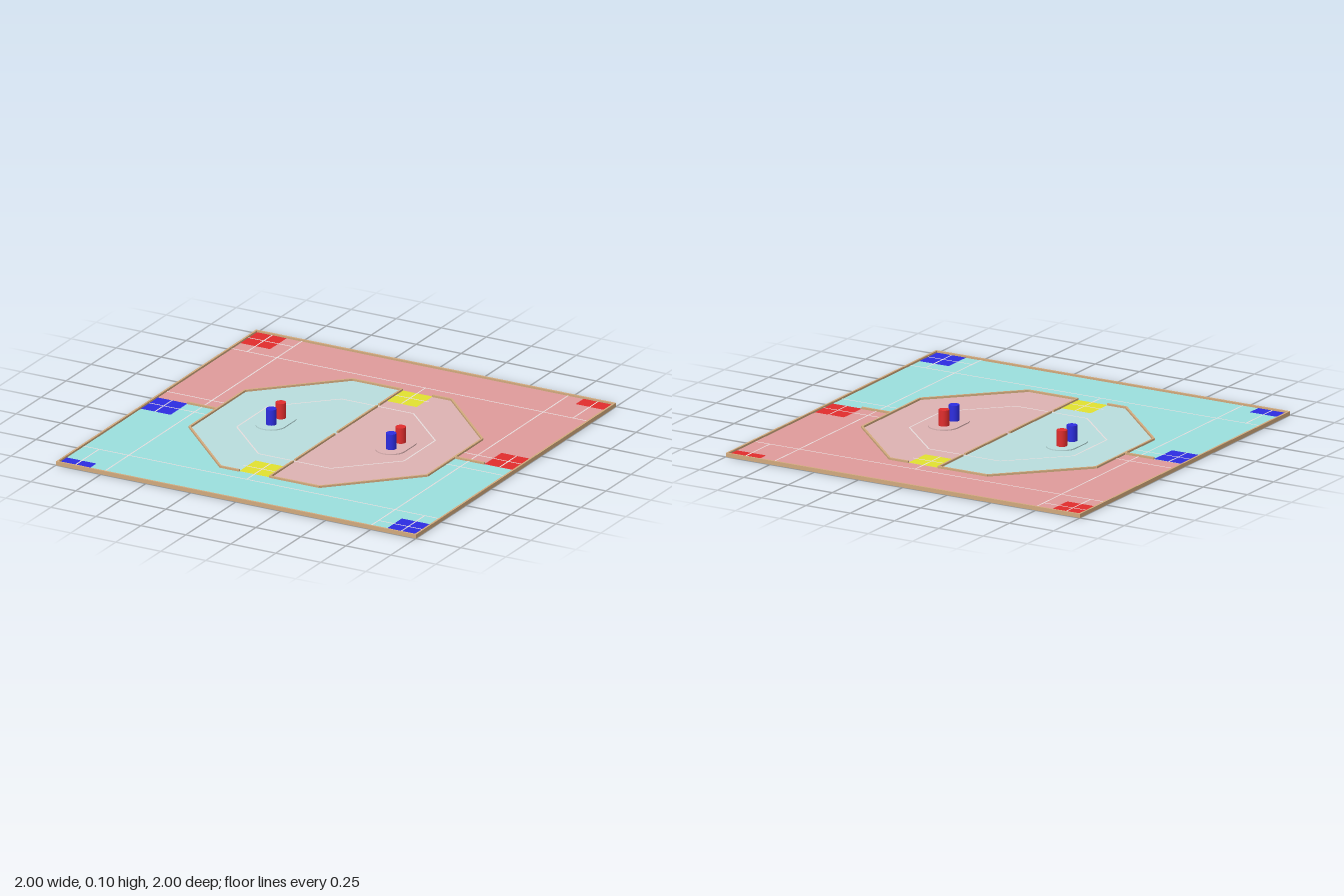
import * as THREE from 'three';

const mat = (color) => new THREE.MeshStandardMaterial({ color });
const WOOD = mat(0xd2aa7d), LINE = mat(0xe6dcdc);
const RED = mat(0xe02c2c), BLUE = mat(0x2c2ce0), YELLOW = mat(0xe0e030);
const PINK = mat(0xde9a9a), CYAN = mat(0x9adedc);
const PALE_PINK = mat(0xdcb2b2), PALE_CYAN = mat(0xb8dcdc);
const FLOOR = 0.01, WALL_TOP = 0.02, T = 0.01;

export function createModel() {
  const model = new THREE.Group();

  const add = (name, geometry, material, x = 0, y = 0, z = 0, parent = model) => {
    const mesh = new THREE.Mesh(geometry, material);
    mesh.name = name;
    mesh.position.set(x, y, z);
    parent.add(mesh);
    return mesh;
  };

  // flat polygon lying on the floor, given as [x, z] corners
  const floor = (name, points, material) => {
    const shape = new THREE.Shape(points.map(([x, z]) => new THREE.Vector2(x, -z)));
    add(name, new THREE.ShapeGeometry(shape).rotateX(-Math.PI / 2), material, 0, FLOOR, 0);
  };

  // flat rectangle between two corners
  const tile = (name, x0, z0, x1, z1, material, y = FLOOR + 0.001, parent = model) =>
    add(name, new THREE.PlaneGeometry(x1 - x0, z1 - z0).rotateX(-Math.PI / 2), material,
      (x0 + x1) / 2, y, (z0 + z1) / 2, parent);

  // upright strip of wood from one floor point to another
  const wall = (name, x0, z0, x1, z1) => {
    const length = Math.hypot(x1 - x0, z1 - z0);
    const mesh = add(name, new THREE.BoxGeometry(length, WALL_TOP, T), WOOD,
      (x0 + x1) / 2, WALL_TOP / 2, (z0 + z1) / 2);
    mesh.rotation.y = -Math.atan2(z1 - z0, x1 - x0);
  };

  // painted stripe from one floor point to another
  const lines = new THREE.Group();
  lines.name = 'paintedLines';
  model.add(lines);
  const line = (x0, z0, x1, z1) => {
    const length = Math.hypot(x1 - x0, z1 - z0);
    const g = new THREE.PlaneGeometry(length, 0.007).rotateX(-Math.PI / 2);
    const mesh = add('paintedLine', g, LINE, (x0 + x1) / 2, FLOOR + 0.002, (z0 + z1) / 2, lines);
    mesh.rotation.y = -Math.atan2(z1 - z0, x1 - x0);
  };

  // wooden base and rim
  add('base', new THREE.BoxGeometry(2, FLOOR - 0.001, 2), WOOD, 0, (FLOOR - 0.001) / 2, 0);
  const E = 1 - T / 2;
  for (const s of [1, -1]) {
    wall('rimLong', -1, s * E, 1, s * E);
    wall('rimSide', s * E, -1 + T, s * E, 1 - T);
  }

  // the court is two identical halves turned half way round: s = 1 is the front half
  const A = 0.66, B = 0.275, a = 0.465, b = 0.155, c = 0.2, d = 0.415;
  for (const s of [1, -1]) {
    const turn = (pts) => pts.map(([x, z]) => [s * x, s * z]);
    const corner = s > 0 ? BLUE : RED;
    const rect = (name, x0, z0, x1, z1, m) => tile(name,
      Math.min(s * x0, s * x1), Math.min(s * z0, s * z1),
      Math.max(s * x0, s * x1), Math.max(s * z0, s * z1), m);
    const stripe = (x0, z0, x1, z1) => line(s * x0, s * z0, s * x1, s * z1);
    const fence = (name, x0, z0, x1, z1) => wall(name, s * x0, s * z0, s * x1, s * z1);

    floor('outerFloor', turn([[-1, 0], [-A, 0], [-A, B], [-B, A], [B, A], [A, B], [A, 0], [1, 0], [1, 1], [-1, 1]]),
      s > 0 ? CYAN : PINK);
    floor('innerFloor', turn([[0, -A], [0, A], [-B, A], [-A, B], [-A, -B], [-B, -A]]),
      s > 0 ? PALE_CYAN : PALE_PINK);

    // coloured zones
    rect('cornerZone', 0.825, 0.825, 0.99, 0.99, corner);
    rect('halfCornerZone', -0.99, 0.91, -0.825, 0.99, corner);
    rect('sideZone', -0.99, 0, -0.825, 0.17, corner);
    rect('gateZone', -0.17, 0.5, 0, A, YELLOW);

    // octagon wall, open at the gate
    fence('octagonSide', A, -B, A, B);
    fence('octagonCorner', A, B, B, A);
    fence('octagonCorner', -B, A, -A, B);
    fence('octagonFront', B, A, 0, A);
    fence('octagonFront', -0.17, A, -B, A);
    // dividing walls
    fence('sideDivider', -A, 0, -0.825, 0);
    fence('middleDivider', 0, 0.015, 0, 0.41);
    fence('middleDivider', 0, 0.43, 0, A);

    // outer stripes
    stripe(-0.99, 0.74, 0.99, 0.74);
    stripe(0.74, 0, 0.74, 0.99);
    stripe(-0.74, 0, -0.74, 0.99);
    stripe(-0.99, 0.085, -A, 0.085);
    stripe(A, 0.09, 0.99, 0.09);
    stripe(-0.91, 0, -0.91, 0.17);
    stripe(0.905, 0.74, 0.905, 0.99);
    stripe(0.74, 0.905, 0.99, 0.905);
    stripe(-0.905, 0.74, -0.905, 0.99);
    stripe(-0.085, 0.5, -0.085, 0.74);
    stripe(-0.19, 0.585, 0, 0.585);
    // inner octagon stripes
    stripe(a, -b, a, b);
    stripe(a, b, c, d);
    stripe(c, d, -c, d);
    stripe(-c, d, -a, b);

    // rounded stand carrying a blue and a red post
    const r = 0.077, h = 0.048, x = -s * 0.333;
    const stadium = new THREE.Shape();
    stadium.absarc(0, h, r, 0, Math.PI);
    stadium.absarc(0, -h, r, Math.PI, Math.PI * 2);
    const plate = new THREE.ExtrudeGeometry(stadium, { depth: 0.006, bevelEnabled: false, curveSegments: 16 });
    add('postStand', plate.rotateX(-Math.PI / 2), s > 0 ? PALE_CYAN : PALE_PINK, x, FLOOR, 0);
    for (const [name, z, m] of [['bluePost', h, BLUE], ['redPost', -h, RED]])
      add(name, new THREE.CylinderGeometry(0.026, 0.026, 0.08, 24), m, x, 0.056, z);
  }
  return model;
}
